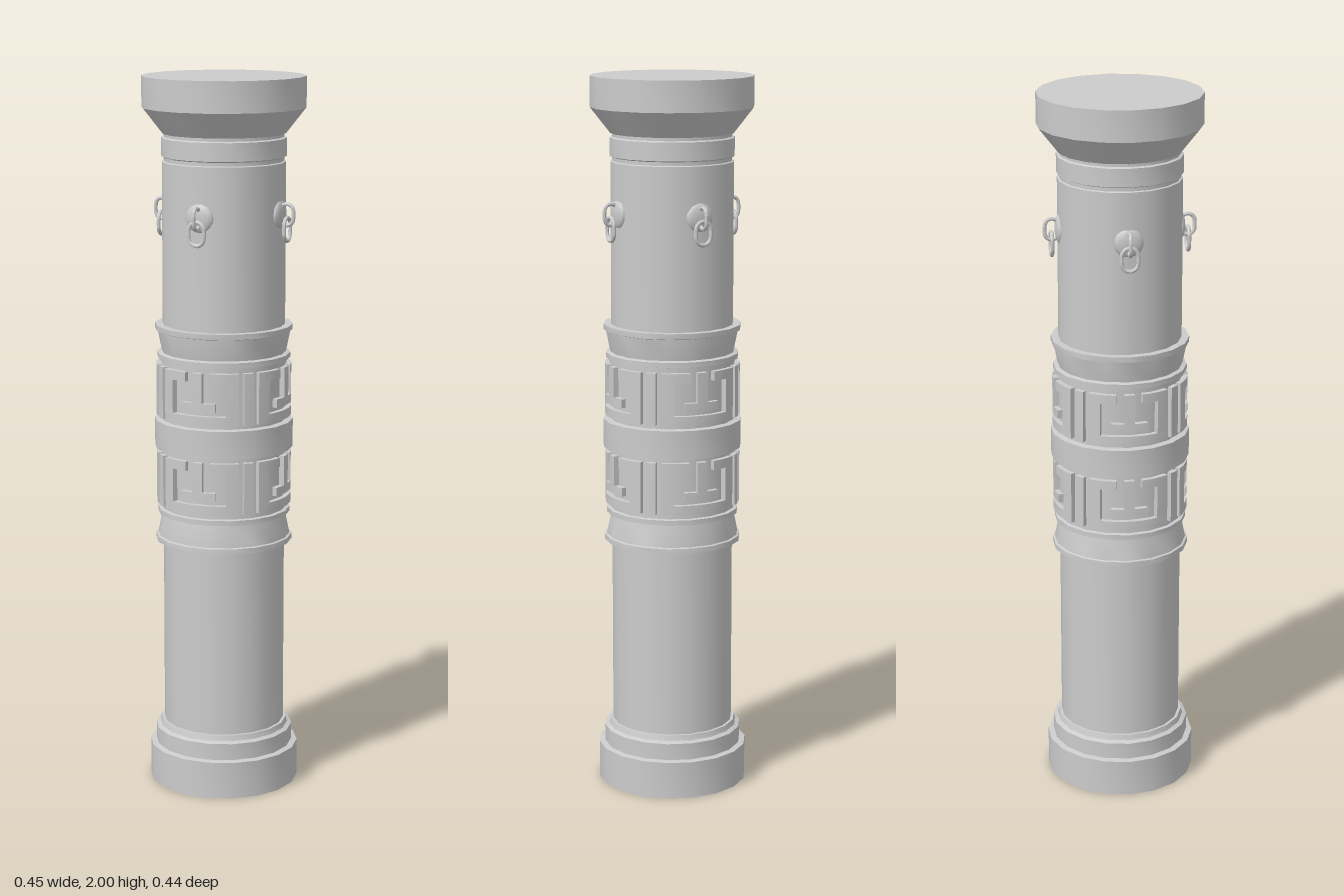
import * as THREE from 'three';
import { toCreasedNormals } from 'three/addons/utils/BufferGeometryUtils.js';

const SIDES = 18;
const material = new THREE.MeshStandardMaterial({ color: 0xcccccc });
const rad = THREE.MathUtils.degToRad;

function addMesh(parent, name, geometry) {
  const mesh = new THREE.Mesh(toCreasedNormals(geometry, 0.6), material);
  mesh.name = name;
  parent.add(mesh);
  return mesh;
}

// turned part from [radius, height] pairs, bottom to top
function turned(parent, name, pairs) {
  const points = pairs.map(([r, y]) => new THREE.Vector2(r, y));
  return addMesh(parent, name, new THREE.LatheGeometry(points, SIDES, rad(10)));
}

// raised bar wrapped around the column, between two angles (degrees) and two heights
function fretBar(parent, a0, a1, y0, y1) {
  const inner = 0.168, outer = 0.188;
  const segments = Math.max(1, Math.ceil((a1 - a0) / 8));
  const geometry = new THREE.BoxGeometry(a1 - a0, y1 - y0, outer - inner, segments, 1, 1);
  geometry.translate((a0 + a1) / 2, (y0 + y1) / 2, (inner + outer) / 2);
  const p = geometry.attributes.position;
  for (let i = 0; i < p.count; i++) {
    const a = rad(p.getX(i)), r = p.getZ(i);
    p.setXYZ(i, Math.sin(a) * r, p.getY(i), Math.cos(a) * r);
  }
  addMesh(parent, 'fretBar', geometry);
}

// fret band: hooked brackets around upright tees, with posts between them
function fretBand(parent, name, y) {
  const band = new THREE.Group();
  band.name = name;
  const h = 0.145, t = 0.026;
  for (let k = 0; k < 4; k++) {
    const c = k * 90;
    fretBar(band, c - 36, c + 36, y, y + t);
    for (const s of [-1, 1]) {
      const bar = (a, b, y0, y1) => fretBar(band, c + Math.min(s * a, s * b), c + Math.max(s * a, s * b), y0, y1);
      bar(25, 36, y + t, y + h - t);
      bar(11, 36, y + h - t, y + h);
    }
    fretBar(band, c - 4.5, c + 4.5, y + 0.062, y + h);
    fretBar(band, c - 16, c + 16, y + 0.038, y + 0.062);
    fretBar(band, c + 40.5, c + 49.5, y, y + h);
  }
  parent.add(band);
}

// oval ring in the xy plane
function linkGeometry(halfWidth, halfHeight, thickness) {
  const points = [];
  const straight = halfHeight - halfWidth;
  for (let i = 0; i < 16; i++) {
    const a = ((i + 0.5) / 16) * Math.PI * 2;
    points.push(new THREE.Vector3(Math.cos(a) * halfWidth, Math.sin(a) * halfWidth + Math.sign(Math.sin(a)) * straight, 0));
  }
  return new THREE.TubeGeometry(new THREE.CatmullRomCurve3(points, true), 32, thickness, 8, true);
}

export function createModel() {
  const column = new THREE.Group();
  column.name = 'column';

  turned(column, 'base', [
    [0, 0], [0.21, 0], [0.21, 0.105], [0.194, 0.108], [0.194, 0.155],
    [0.182, 0.16], [0.178, 0.175], [0, 0.175],
  ]);
  turned(column, 'shaft', [
    [0, 0.17], [0.17, 0.17], [0.17, 1.768], [0.165, 1.77], [0.165, 1.78],
    [0.172, 1.783], [0.172, 1.833], [0.165, 1.836], [0.165, 1.85], [0, 1.85],
  ]);
  turned(column, 'capital', [
    [0, 1.845], [0.17, 1.845], [0.225, 1.915], [0.225, 2], [0, 2],
  ]);

  // flared collars above and below the fret bands
  const collar = [[0.165, 0.705], [0.191, 0.705], [0.191, 0.72], [0.185, 0.722], [0.173, 0.782],
    [0.185, 0.785], [0.185, 0.799], [0.165, 0.803]];
  turned(column, 'lowerCollar', collar);
  turned(column, 'upperCollar', collar.map(([r, y]) => [r, 2.025 - y]).reverse());

  turned(column, 'fretBacking', [[0.165, 0.79], [0.175, 0.79], [0.175, 1.235], [0.165, 1.235]]);
  turned(column, 'middleBand', [[0.17, 0.97], [0.193, 0.973], [0.193, 1.052], [0.17, 1.055]]);
  fretBand(column, 'lowerFret', 0.815);
  fretBand(column, 'upperFret', 1.065);

  // four hanging rings on round bosses
  for (let k = 0; k < 4; k++) {
    const fixture = new THREE.Group();
    fixture.name = 'ringFixture';
    fixture.rotation.y = (k * Math.PI) / 2;
    const boss = addMesh(fixture, 'boss', new THREE.SphereGeometry(1, 16, 10));
    boss.scale.set(0.04, 0.04, 0.014);
    boss.position.set(0, 1.63, 0.164);
    const eye = addMesh(fixture, 'eyeRing', linkGeometry(0.019, 0.029, 0.0055));
    eye.rotation.y = Math.PI / 2;
    eye.position.set(0, 1.63, 0.186);
    const link = addMesh(fixture, 'hangingLink', linkGeometry(0.022, 0.032, 0.0055));
    link.position.set(0, 1.59, 0.187);
    column.add(fixture);
  }
  return column;
}
